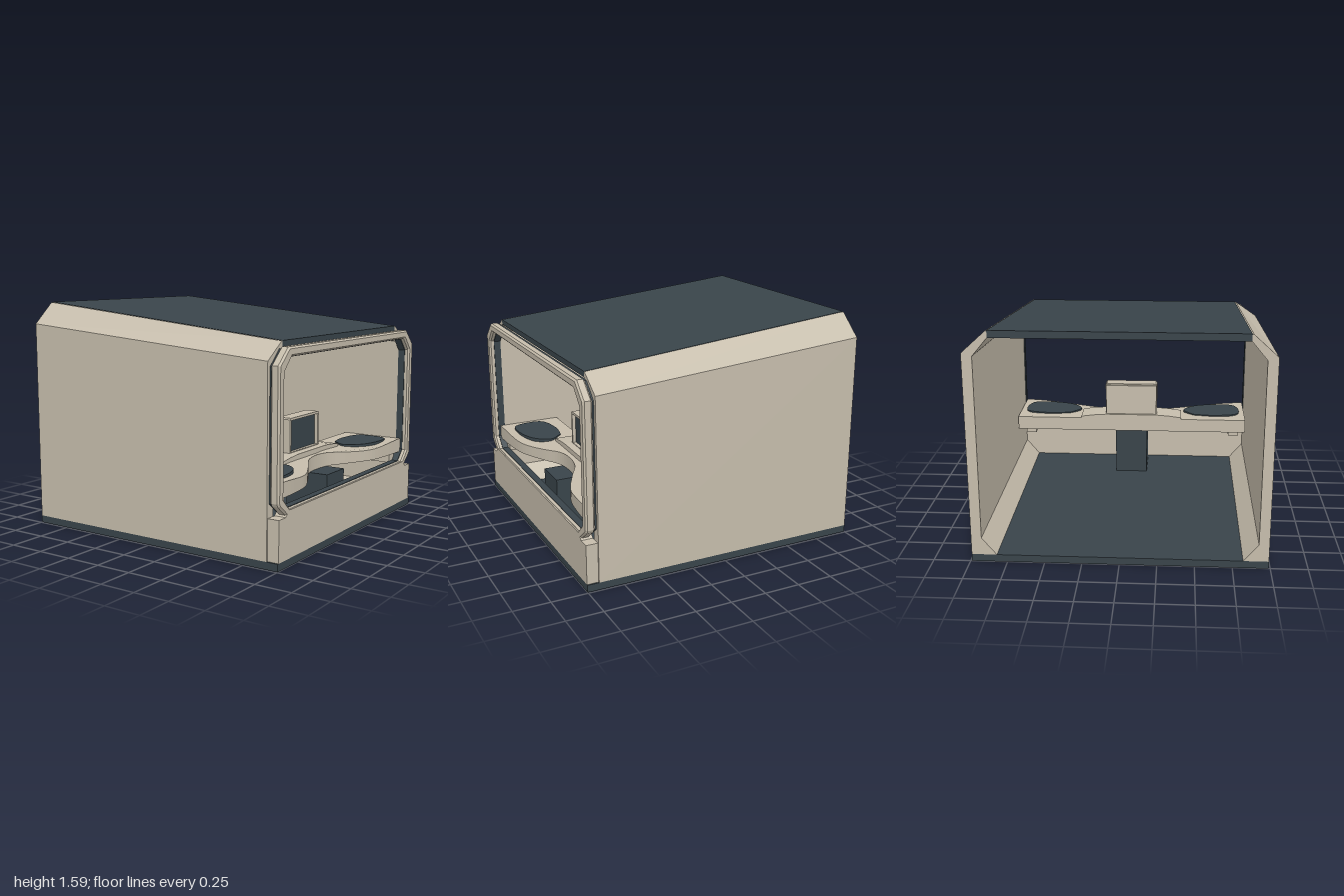
import * as THREE from 'three';

const beige = new THREE.MeshStandardMaterial({ color: 0xc6bdac });
const dark = new THREE.MeshStandardMaterial({ color: 0x39444a });
const V = (a) => a.map(([x, y]) => new THREE.Vector2(x, y));

function mesh(name, geo, mat, parent) {
  const m = new THREE.Mesh(geo, mat);
  m.name = name;
  parent.add(m);
  return m;
}

function box(name, x0, x1, y0, y1, z0, z1, mat, parent) {
  const m = mesh(name, new THREE.BoxGeometry(x1 - x0, y1 - y0, z1 - z0), mat, parent);
  m.position.set((x0 + x1) / 2, (y0 + y1) / 2, (z0 + z1) / 2);
  return m;
}

// Extrudes a (z, y) profile along x from x0 to x1
function alongX(profile, x0, x1, hole, bevel = 0) {
  const shape = new THREE.Shape(V(profile));
  if (hole) shape.holes.push(new THREE.Path(V(hole)));
  const geo = new THREE.ExtrudeGeometry(shape, {
    depth: x1 - x0 - 2 * bevel, bevelEnabled: bevel > 0, bevelSize: bevel,
    bevelThickness: bevel, bevelOffset: -bevel, bevelSegments: 1,
  });
  return geo.rotateY(Math.PI / 2).translate(x0 + bevel, 0, 0);
}

// Extrudes an (x, z) outline upward from y0 to y1
function upward(outline, y0, y1) {
  const geo = new THREE.ExtrudeGeometry(new THREE.Shape(V(outline)), { depth: y1 - y0, bevelEnabled: false });
  return geo.rotateX(-Math.PI / 2).translate(0, y0, 0);
}

function bend(geo, rule) {
  const p = geo.attributes.position;
  for (let i = 0; i < p.count; i++) p.setY(i, rule(p.getX(i), p.getY(i), p.getZ(i)));
  geo.computeVertexNormals();
  return geo;
}

// Lowers the upper edges towards the window end
const slope = (x, y) => (y < 1 ? y : y - ((x + 1) / 1.92) * (0.155 + 0.035 * ((y - 1.44) / 0.145)));

// Chamfered loop, listed as half and mirrored in z
const loop = (half) => [...half, ...half.map(([z, y]) => [-z, y]).reverse()];

// Smooth curve through (x, z) points
const smooth = (pts, n) => new THREE.SplineCurve(V(pts)).getPoints(n).map((p) => [p.x, p.y]);

export function createModel() {
  const cabin = new THREE.Group();
  cabin.name = 'cabin';

  // Floor and roof
  box('floor', -1, 1, 0, 0.05, -0.99, 0.99, dark, cabin);
  const roof = [[-0.82, 1.54], [0.82, 1.54], [0.82, 1.588], [-0.82, 1.588]];
  mesh('roofPanel', bend(alongX(roof, -1, 0.92), slope), dark, cabin);

  // Side walls with chamfers at the roof and floor
  for (const s of [1, -1]) {
    const wall = [[0.99, 0.05], [0.99, 1.44], [0.83, 1.585], [0.82, 1.585], [0.82, 1.54],
      [0.92, 1.42], [0.92, 0.17], [0.82, 0.05]].map(([z, y]) => [s * z, y]);
    mesh(s > 0 ? 'leftWall' : 'rightWall', bend(alongX(wall, -1, 0.92), slope), beige, cabin);
  }

  // Window end: sill panel, frame and seal
  const sill = loop([[0.98, 0.05], [0.98, 0.322], [0.9, 0.322], [0.86, 0.36]]);
  mesh('sillPanel', alongX(sill, 0.92, 1), beige, cabin);
  const outer = loop([[0.88, 0.325], [0.975, 0.4], [0.985, 0.42], [0.985, 1.26], [0.87, 1.365]]);
  const inner = loop([[0.84, 0.362], [0.92, 0.44], [0.92, 1.215], [0.835, 1.305]]);
  mesh('windowFrame', alongX(outer, 0.935, 1, inner, 0.012), beige, cabin);
  const sealOuter = loop([[0.86, 0.33], [0.965, 0.41], [0.965, 1.25], [0.86, 1.35]]);
  const sealInner = loop([[0.835, 0.366], [0.914, 0.445], [0.914, 1.21], [0.83, 1.299]]);
  mesh('windowSeal', alongX(sealOuter, 0.915, 0.965, sealInner), dark, cabin);

  // Console: desk with projecting wings and a recessed middle
  const console_ = new THREE.Group();
  console_.name = 'console';
  cabin.add(console_);
  const edge = smooth([[0.95, -0.91], [0.94, -0.7], [0.91, -0.5], [0.82, -0.3], [0.74, -0.15], [0.72, 0],
    [0.74, 0.15], [0.82, 0.3], [0.91, 0.5], [0.94, 0.7], [0.95, 0.91]], 60);
  const wave = (z) => 0.012 * Math.cos(z * 7);
  const desk = upward([[0.48, -0.91], ...edge, [0.48, 0.91]], 0.425, 0.515);
  const position = desk.attributes.position;
  for (let i = 0; i < position.count; i++) {
    if (position.getY(i) > 0.5) position.setY(i, 0.515 + wave(position.getZ(i)));
  }
  mesh('desk', desk, beige, console_);

  // Dark inlays on the wings
  for (const s of [1, -1]) {
    const leaf = smooth([[0.6, 0.5], [0.58, 0.66], [0.62, 0.84], [0.74, 0.87], [0.86, 0.82],
      [0.87, 0.66], [0.82, 0.5], [0.71, 0.42], [0.6, 0.5]], 40).slice(0, -1);
    const inlay = upward(leaf.map(([x, z]) => [x, s * z]), 0.49, 0.533);
    mesh(s > 0 ? 'leftInlay' : 'rightInlay', inlay, dark, console_);
    box(s > 0 ? 'leftBracket' : 'rightBracket', 0.6, 0.92, 0.355, 0.43, s * 0.825 - 0.04, s * 0.825 + 0.04, beige, console_);
  }

  // Low hump carrying the screen
  const hump = [[-0.4, 0.5], [0.4, 0.5], [0.4, 0.54], [0.3, 0.553], [0.2, 0.56], [-0.2, 0.56], [-0.3, 0.553], [-0.4, 0.54]];
  mesh('screenBase', alongX(hump, 0.48, 0.68), beige, console_);

  // Screen inside a deep hood
  const rim = loop([[0.205, 0.55], [0.205, 0.795], [0.195, 0.805]]);
  const gap = loop([[0.188, 0.565], [0.188, 0.788]]);
  mesh('screenHood', alongX(rim, 0.52, 0.62, gap), beige, console_);
  box('screenBack', 0.5, 0.53, 0.55, 0.795, -0.2, 0.2, beige, console_);
  box('screen', 0.53, 0.595, 0.565, 0.788, -0.189, 0.189, dark, console_);

  // Pedestal under the desk
  box('pedestal', 0.55, 0.87, 0.05, 0.425, -0.125, 0.125, dark, console_);
  return cabin;
}
